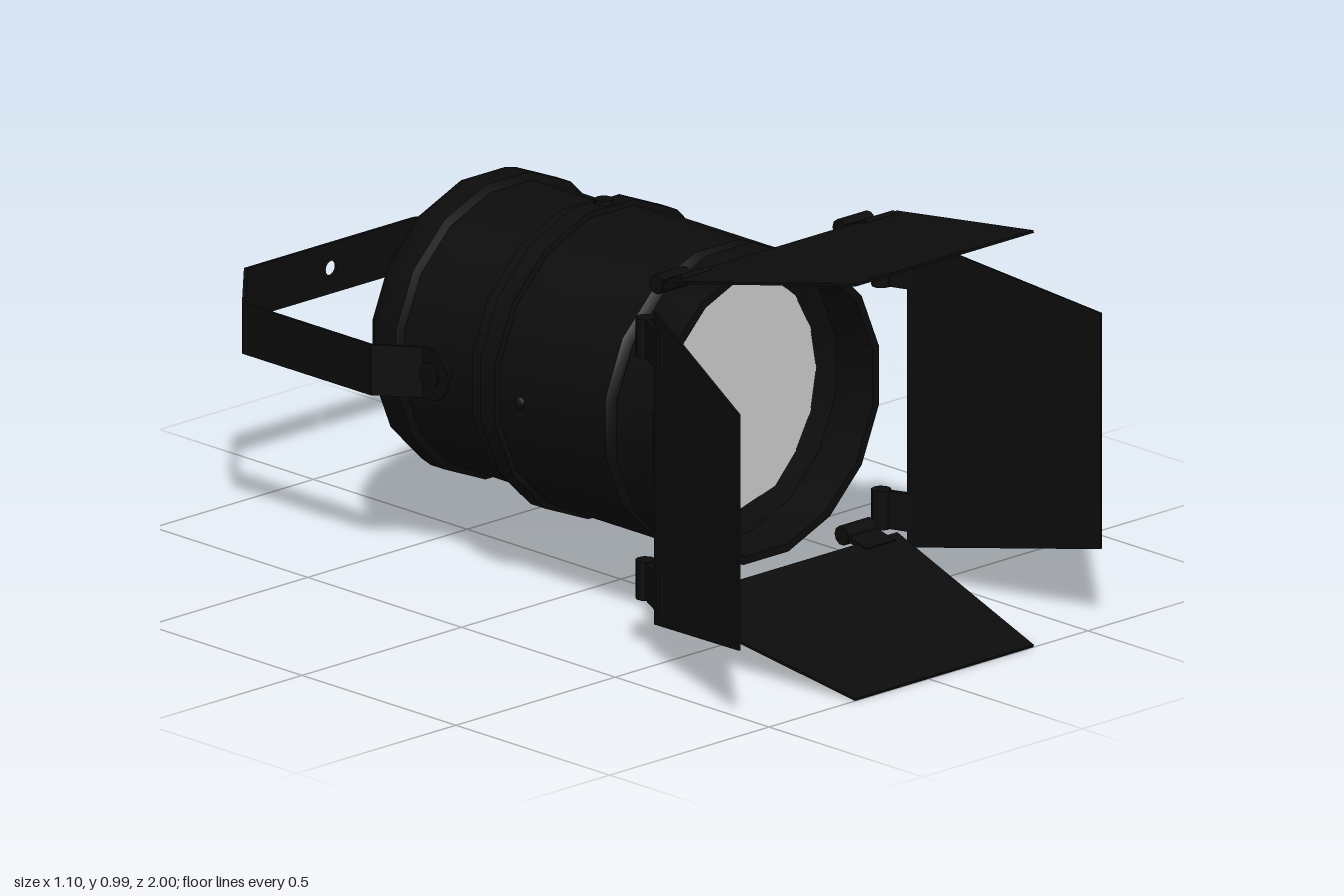
import * as THREE from 'three';
import { toCreasedNormals } from 'three/addons/utils/BufferGeometryUtils.js';

const CX = 0.05, CY = 0.492, SIDES = 16;
const V = (x, y, z) => new THREE.Vector3(x, y, z);

export function createModel() {
  const root = new THREE.Group();
  const black = new THREE.MeshStandardMaterial({ color: 0x0c0c0c, side: THREE.DoubleSide });
  const grey = new THREE.MeshStandardMaterial({ color: 0xcccccc, side: THREE.DoubleSide });

  const add = (name, geometry, parent = root, material = black) => {
    const mesh = new THREE.Mesh(geometry, material);
    mesh.name = name;
    parent.add(mesh);
    return mesh;
  };

  // Sixteen-sided turned part along z; profile is [distance to flat, z]
  const turned = (name, profile) => {
    const k = 1 / Math.cos(Math.PI / SIDES);
    const pts = profile.map(([r, z]) => new THREE.Vector2(r * k, z));
    const geo = new THREE.LatheGeometry(pts, SIDES, Math.PI / SIDES);
    geo.rotateX(Math.PI / 2);
    return add(name, toCreasedNormals(geo, 0.6)).position.set(CX, CY, 0);
  };

  // Thin sheet cut from a shape, placed at origin with its own x and y axes
  const sheet = (name, shape, origin, xAxis, yAxis, parent, depth = 0.006) => {
    const geo = new THREE.ExtrudeGeometry(shape, { depth, bevelEnabled: false, curveSegments: 8 });
    geo.translate(0, 0, -depth / 2);
    const zAxis = xAxis.clone().cross(yAxis).normalize();
    geo.applyMatrix4(new THREE.Matrix4().makeBasis(xAxis, yAxis, zAxis).setPosition(origin));
    return add(name, geo, parent);
  };
  const polygon = (pts) => new THREE.Shape(pts.map(([x, y]) => new THREE.Vector2(x, y)));

  // Rod between two points
  const rod = (name, a, b, r, parent, sides = 10) => {
    const d = b.clone().sub(a);
    const mesh = add(name, new THREE.CylinderGeometry(r, r, d.length(), sides), parent);
    mesh.position.copy(a).add(b).multiplyScalar(0.5);
    mesh.quaternion.setFromUnitVectors(V(0, 1, 0), d.normalize());
    return mesh;
  };

  // Housing: rounded rear cap, narrower rear can and main barrel
  turned('rearCap', [[0, -0.535], [0.29, -0.533], [0.325, -0.522], [0.342, -0.50],
    [0.35, -0.465], [0.35, -0.42], [0.333, -0.41]]);
  turned('rearCan', [[0.333, -0.42], [0.333, -0.17]]);
  turned('barrel', [[0.333, -0.175], [0.351, -0.172], [0.351, 0.262], [0.34, 0.274], [0.325, 0.28]]);
  turned('clampBand', [[0.35, -0.135], [0.364, -0.132], [0.364, -0.083], [0.35, -0.08]]);

  // Hollow front ring with a bezel stepping in to the lens
  turned('frontRing', [[0.325, 0.28], [0.34, 0.287], [0.353, 0.30], [0.354, 0.42],
    [0.335, 0.42], [0.335, 0.30], [0.275, 0.281]]);

  // Lens with uneven corners
  add('lens', new THREE.ShapeGeometry(polygon([[-0.013, 0.77], [-0.09, 0.742], [-0.162, 0.683],
    [-0.232, 0.49], [-0.215, 0.394], [-0.165, 0.31], [-0.09, 0.243], [0, 0.213], [0.1, 0.213],
    [0.207, 0.243], [0.271, 0.31], [0.318, 0.394], [0.336, 0.494], [0.318, 0.594],
    [0.271, 0.68], [0.207, 0.733]])), root, grey).position.z = 0.287;

  // Band bolts above and below, small screws on both sides
  for (const s of [-1, 1]) {
    rod('bandBolt', V(CX, CY + s * 0.34, -0.107), V(CX, CY + s * 0.376, -0.107), 0.022);
    const screw = add('sideScrew', new THREE.SphereGeometry(0.016, 10, 8));
    screw.position.set(CX + s * 0.368, CY, 0);
    screw.scale.x = 0.6;
  }

  // Barn doors: hinge barrel, base and tip centres, width axis and widths
  const doors = [
    { name: 'topDoor', u: V(1, 0, 0), hinge: V(CX, 0.862, 0.408), base: V(CX, 0.888, 0.465), tip: V(CX, 0.988, 1), wb: 0.735, wt: 0.56 },
    { name: 'bottomDoor', u: V(1, 0, 0), hinge: V(CX, 0.135, 0.415), base: V(CX, 0.124, 0.465), tip: V(CX, 0.003, 1), wb: 0.735, wt: 0.56 },
    { name: 'rightDoor', u: V(0, 1, 0), hinge: V(-0.313, 0.457, 0.405), base: V(-0.35, 0.457, 0.475), tip: V(-0.55, 0.463, 0.955), wb: 0.743, wt: 0.56 },
    { name: 'leftDoor', u: V(0, 1, 0), hinge: V(0.423, 0.457, 0.408), base: V(0.447, 0.457, 0.47), tip: V(0.547, 0.463, 0.995), wb: 0.743, wt: 0.56 },
  ];
  for (const { name, u, hinge, base, tip, wb, wt } of doors) {
    const door = new THREE.Group();
    door.name = name;
    root.add(door);
    const along = tip.clone().sub(base), len = along.length();
    sheet('panel', polygon([[-wb / 2, 0], [wb / 2, 0], [wt / 2, len], [-wt / 2, len]]),
      base, u, along.normalize(), door);
    // Two hinge tabs per door
    const arm = base.clone().sub(hinge), armLen = arm.length();
    arm.normalize();
    for (const s of [-1, 1]) {
      const at = hinge.clone().addScaledVector(u, s * 0.288);
      sheet('hingeTab', polygon([[-0.045, 0], [0.045, 0], [0.045, armLen + 0.03], [-0.045, armLen + 0.03]]),
        at, u, arm, door, 0.012);
      rod('hingeBarrel', at.clone().addScaledVector(u, -0.046), at.clone().addScaledVector(u, 0.046), 0.023, door);
    }
  }

  // Yoke: flat strip bent around the back, with round ends and a mounting hole
  const yoke = new THREE.Group();
  yoke.name = 'yoke';
  root.add(yoke);
  const half = [[0.37, -0.28], [0.37, -0.31], [0.442, -0.405], [0.442, -0.82], [0.265, -0.997]];
  const path = [...half.map(([x, z]) => V(CX - x, CY, z)), ...half.reverse().map(([x, z]) => V(CX + x, CY, z))];
  const h = 0.06;
  for (let i = 0; i < path.length - 1; i++) {
    const dir = path[i + 1].clone().sub(path[i]), len = dir.length();
    const strip = polygon([[0, -h], [len, -h], [len, h], [0, h]]);
    if (i === 4) strip.holes.push(new THREE.Path().absarc(len / 2, 0, 0.018, 0, Math.PI * 2, true));
    sheet('strip', strip, path[i], dir.normalize(), V(0, 1, 0), yoke, 0.008);
  }
  for (const s of [-1, 1]) {
    const end = new THREE.Shape().absarc(0, 0, h, 0, Math.PI * 2);
    sheet('roundEnd', end, V(CX + s * 0.37, CY, -0.285), V(0, 0, 1), V(0, 1, 0), yoke, 0.008);
    rod('pivotBolt', V(CX + s * 0.32, CY, -0.285), V(CX + s * 0.378, CY, -0.285), 0.03, yoke, 12);
  }
  return root;
}
